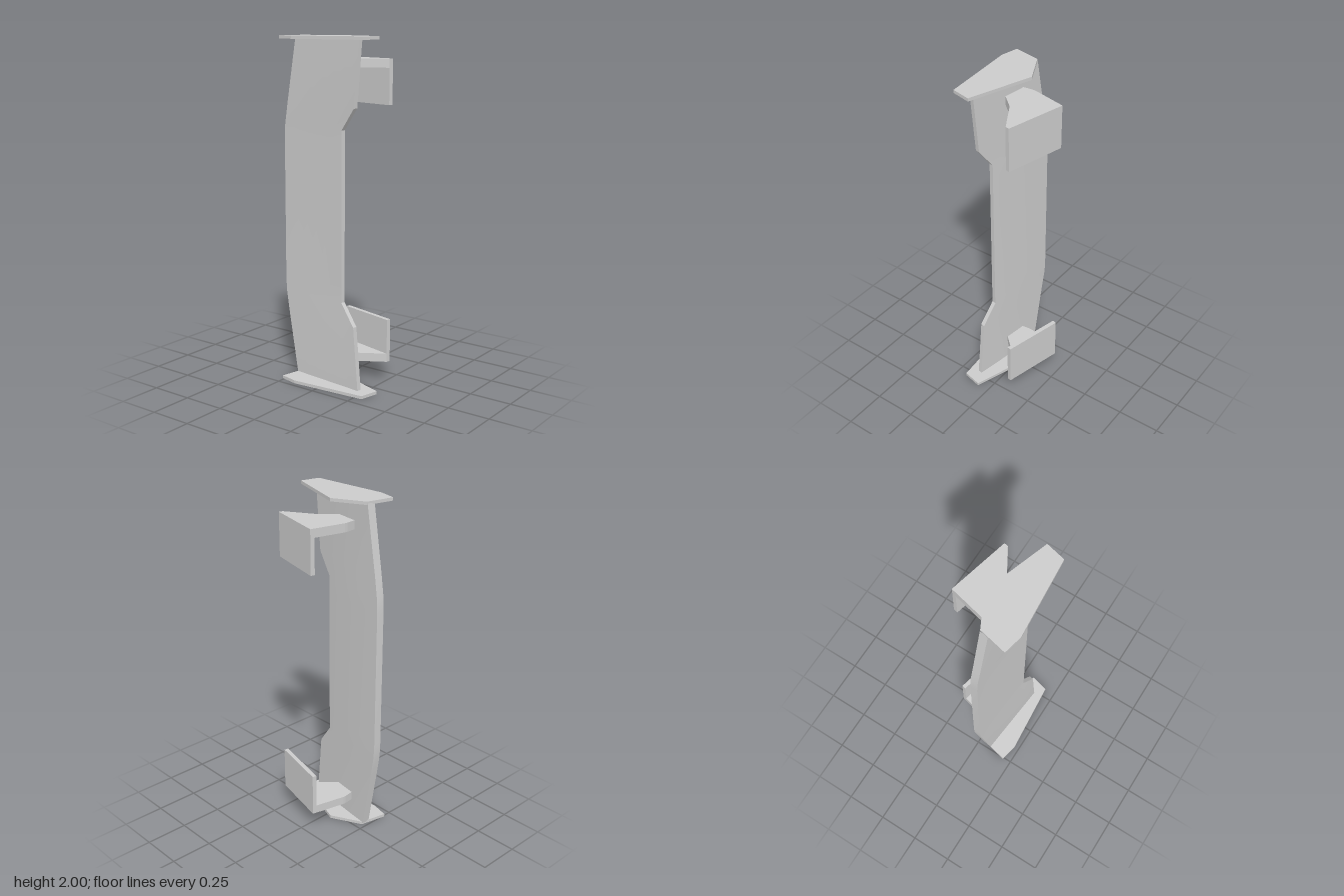
import * as THREE from 'three';
import { toCreasedNormals } from 'three/addons/utils/BufferGeometryUtils.js';

const material = new THREE.MeshStandardMaterial({ color: 0xcccccc });

// Upright prism from a plan outline of [x, z] points
function prism(name, outline, y0, y1) {
  const shape = new THREE.Shape(outline.map(([x, z]) => new THREE.Vector2(x, -z)));
  const geo = new THREE.ExtrudeGeometry(shape, { depth: y1 - y0, bevelEnabled: false });
  geo.rotateX(-Math.PI / 2).translate(0, y0, 0);
  const mesh = new THREE.Mesh(geo, material);
  mesh.name = name;
  return mesh;
}

// Blade lofted through stations: y, leading x, trailing x,
// then z of leading back, leading front, trailing back, trailing front
function blade() {
  const lower = [
    [0.01, -0.233, 0.241, 0.04, 0.088, 0.11, 0.135],
    [0.385, -0.302, 0.206, 0.034, 0.08, 0.106, 0.131],
    [0.51, -0.324, 0.112, 0.03, 0.076, 0.09, 0.115],
    [0.6, -0.328, 0.112, 0.03, 0.075, 0.09, 0.115],
  ];
  const stations = [...lower, ...lower.map(([y, ...rest]) => [2 - y, ...rest]).reverse()];
  const steps = 6;
  const sections = stations.map(([y, xl, xt, lb, lf, tb, tf]) => {
    const back = [], front = [];
    for (let i = 0; i <= steps; i++) {
      const t = i / steps;
      const bow = 0.005 * Math.sin(Math.PI * t);
      back.push([THREE.MathUtils.lerp(xl + 0.004, xt, t), y, THREE.MathUtils.lerp(lb, tb, t) - bow]);
      front.unshift([THREE.MathUtils.lerp(xl, xt - 0.005, t), y, THREE.MathUtils.lerp(lf, tf, t)]);
    }
    return [...back, ...front];
  });
  const n = sections[0].length;
  const index = [];
  for (let i = 0; i < sections.length - 1; i++) {
    for (let j = 0; j < n; j++) {
      const a = i * n + j, b = i * n + (j + 1) % n;
      index.push(a, a + n, b, b, a + n, b + n);
    }
  }
  const geo = new THREE.BufferGeometry();
  geo.setAttribute('position', new THREE.Float32BufferAttribute(sections.flat(2), 3));
  geo.setIndex(index);
  const mesh = new THREE.Mesh(toCreasedNormals(geo, 0.4), material);
  mesh.name = 'blade';
  return mesh;
}

export function createModel() {
  const model = new THREE.Group();
  model.name = 'wing';
  model.add(blade());

  // Plan outlines
  const endPlate = [[-0.225, 0.04], [-0.26, 0.198], [-0.155, 0.221], [0.298, 0.184], [0.325, 0.072], [-0.045, -0.052]];
  const arm = [[-0.077, -0.223], [-0.125, -0.02], [-0.126, -0.005], [-0.12, 0.055], [0.01, 0.078], [0.09, -0.01], [0.266, -0.115], [0.272, -0.138]];
  const mount = [[-0.077, -0.223], [-0.083, -0.199], [0.266, -0.114], [0.272, -0.138]];

  // Each end has a plate and an L-shaped bracket, mirrored about mid height
  for (const [side, flip] of [['lower', false], ['upper', true]]) {
    const add = (name, outline, y0, y1) =>
      model.add(flip ? prism(side + name, outline, 2 - y1, 2 - y0) : prism(side + name, outline, y0, y1));
    add('EndPlate', endPlate, 0, 0.018);
    add('BracketArm', arm, 0.125, 0.175);
    add('BracketPlate', mount, 0.125, 0.38);
  }
  return model;
}
